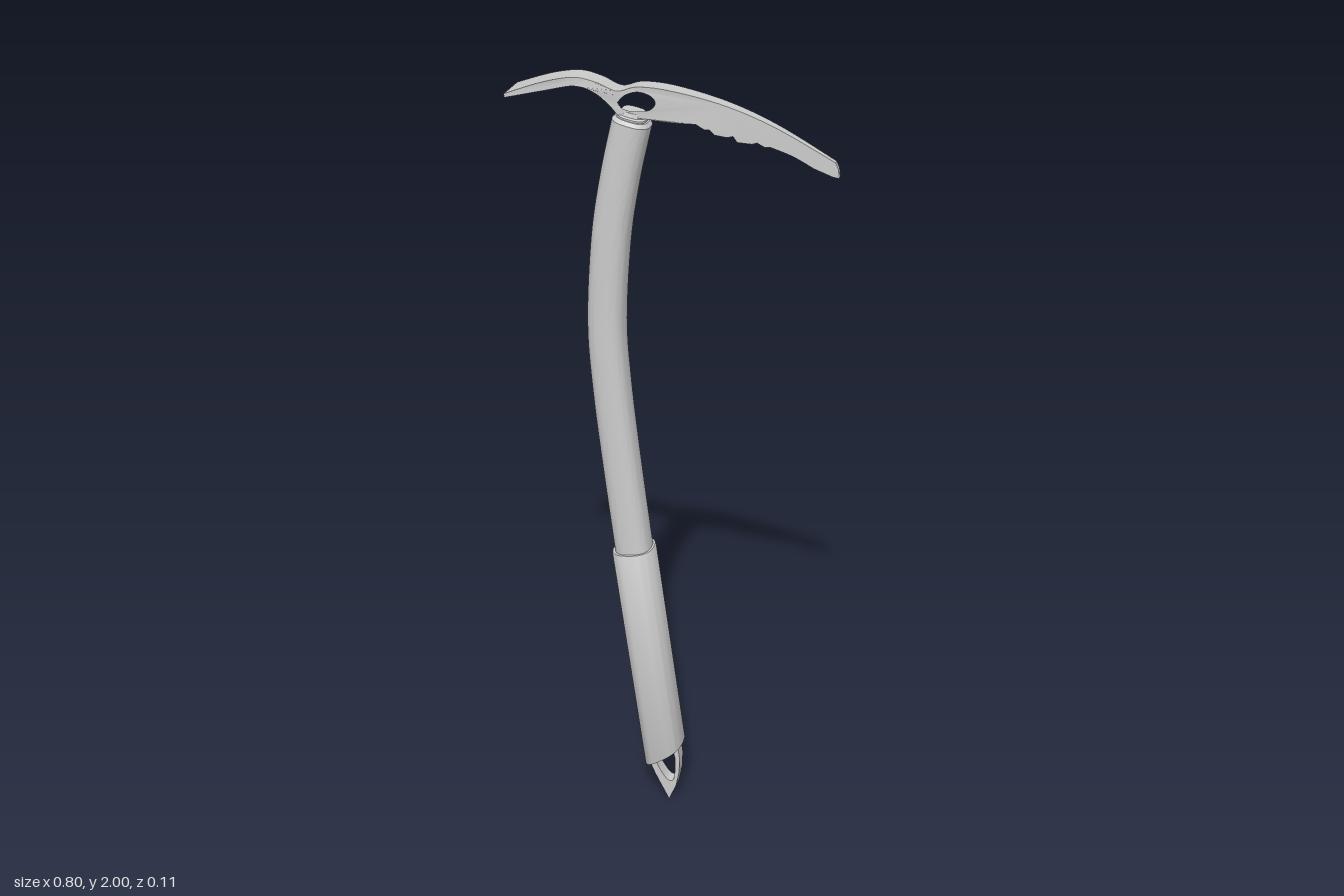
import * as THREE from 'three';
import { toCreasedNormals } from 'three/addons/utils/BufferGeometryUtils.js';

const material = new THREE.MeshStandardMaterial({ color: 0xcccccc });

function part(name, geometry) {
  const mesh = new THREE.Mesh(toCreasedNormals(geometry, 0.6), material);
  mesh.name = name;
  return mesh;
}

// Skins rounded-oval rings, listed bottom to top. Each ring has a centre p,
// direction t, half-sizes a (in the bend plane) and b (along z), and a slant.
function loft(rings, sides = 40) {
  const pos = [], index = [];
  const round = (v) => Math.sign(v) * Math.abs(v) ** (2 / 2.6);
  for (const { p, t, a, b, slant = 0 } of rings) {
    for (let j = 0; j < sides; j++) {
      const angle = (j / sides) * Math.PI * 2;
      const u = a * round(Math.cos(angle)), w = b * round(Math.sin(angle));
      pos.push(p.x + t.y * u + t.x * u * slant, p.y - t.x * u + t.y * u * slant, w);
    }
  }
  for (let i = 0; i < rings.length - 1; i++) {
    for (let j = 0; j < sides; j++) {
      const k = (j + 1) % sides;
      const a = i * sides + j, b = a + sides, c = i * sides + k, d = c + sides;
      index.push(a, b, c, b, d, c);
    }
  }
  const g = new THREE.BufferGeometry();
  g.setAttribute('position', new THREE.Float32BufferAttribute(pos, 3));
  g.setIndex(index);
  return g;
}

const points = (list) => list.map(([x, y]) => new THREE.Vector2(x, y));
const spline = (list, n) => new THREE.SplineCurve(points(list)).getPoints(n);

function createShaft() {
  const path = new THREE.SplineCurve(points([
    [-0.09, 0.65], [-0.105, 0.76], [-0.135, 1.0], [-0.157, 1.2], [-0.168, 1.38],
    [-0.155, 1.6], [-0.13, 1.76], [-0.1, 1.895],
  ]));
  const rings = [];
  for (let i = 0; i <= 40; i++) {
    rings.push({ p: path.getPoint(i / 40), t: path.getTangent(i / 40), a: 0.047, b: 0.049 });
  }
  // bevelled and closed top
  const { p, t } = rings[40];
  rings.push({ p: p.clone().addScaledVector(t, 0.009), t, a: 0.039, b: 0.041 });
  rings.push({ p: p.clone().addScaledVector(t, 0.009), t, a: 0, b: 0 });
  return part('shaft', loft(rings));
}

function createGrip() {
  const low = new THREE.Vector2(-0.022, 0.143), high = new THREE.Vector2(-0.105, 0.757);
  const t = high.clone().sub(low).normalize();
  const ring = (base, along, scale, slant) => ({
    p: base.clone().addScaledVector(t, along), t, a: 0.055 * scale, b: 0.057 * scale, slant,
  });
  return part('grip', loft([
    // hollow slanted end
    ring(low, 0.03, 0, 0.5), ring(low, 0.03, 0.85, 0.5), ring(low, 0, 0.88, 0.5),
    ring(low, 0, 0.97, 0.5), ring(low, 0.005, 1, 0.5),
    // shoulder against the shaft
    ring(high, -0.004, 1, 0), ring(high, 0, 0.97, 0), ring(high, 0, 0.8, 0),
  ]));
}

function createSpike() {
  const shape = new THREE.Shape(points([
    [-0.062, 0.15], [-0.062, 0.115], [-0.045, 0.075], [-0.007, 0.0],
    [0.012, 0.045], [0.021, 0.09], [0.022, 0.135], [0.015, 0.19],
  ]));
  shape.holes.push(new THREE.Path(spline([
    [-0.04, 0.13], [-0.04, 0.108], [-0.015, 0.066], [0.003, 0.062],
    [0.009, 0.09], [0.009, 0.135], [0.0, 0.165],
  ], 24)));
  const g = new THREE.ExtrudeGeometry(shape, { depth: 0.036, bevelEnabled: false });
  return part('spike', g.translate(0, 0, -0.018));
}

// Half thickness of the head along its length: broad adze, slim pick
const widths = [[-0.4, 0.051], [-0.3, 0.042], [-0.21, 0.031], [-0.15, 0.027],
  [0, 0.025], [0.1, 0.02], [0.2, 0.0155], [0.4, 0.007]];
function halfWidth(x) {
  let i = 0;
  while (i < widths.length - 2 && x > widths[i + 1][0]) i++;
  const [x0, w0] = widths[i], [x1, w1] = widths[i + 1];
  return w0 + ((w1 - w0) * (x - x0)) / (x1 - x0);
}

function createHead() {
  const top = spline([
    [-0.4, 1.952], [-0.31, 1.984], [-0.235, 1.999], [-0.18, 1.99], [-0.13, 1.972],
    [-0.08, 1.985], [0, 1.981], [0.127, 1.954], [0.25, 1.908], [0.39, 1.835],
  ], 60);
  const beak = points([[0.397, 1.82], [0.4, 1.798], [0.385, 1.8]]);
  const pickEdge = spline([[0.34, 1.817], [0.29, 1.843], [0.235, 1.862]], 8);
  const teeth = points([
    [0.222, 1.861], [0.205, 1.87], [0.193, 1.866], [0.158, 1.868], [0.148, 1.882],
    [0.135, 1.878], [0.105, 1.882], [0.092, 1.894], [0.08, 1.893], [0.06, 1.905],
  ]);
  const belly = spline([
    [0.01, 1.905], [-0.05, 1.908], [-0.1, 1.91], [-0.128, 1.915], [-0.142, 1.93],
    [-0.18, 1.962], [-0.23, 1.978], [-0.3, 1.965], [-0.398, 1.943],
  ], 40);
  const shape = new THREE.Shape([...top, ...beak, ...pickEdge, ...teeth, ...belly]);
  // carabiner eye
  shape.holes.push(new THREE.Path(spline([
    [-0.128, 1.945], [-0.11, 1.963], [-0.08, 1.973], [-0.05, 1.966], [-0.037, 1.95],
    [-0.05, 1.932], [-0.085, 1.926], [-0.115, 1.93], [-0.128, 1.945],
  ], 32).slice(0, -1)));
  const g = new THREE.ExtrudeGeometry(shape, { depth: 2, bevelEnabled: false });
  g.translate(0, 0, -1);
  const pos = g.attributes.position;
  for (let i = 0; i < pos.count; i++) pos.setZ(i, pos.getZ(i) * halfWidth(pos.getX(i)));
  return part('head', g);
}

// Stepped collar joining the head to the shaft
function createCollar() {
  const t = new THREE.Vector2(0.2, 0.98).normalize();
  const ring = (x, y, a, b) => ({ p: new THREE.Vector2(x, y), t, a, b });
  return part('collar', loft([
    ring(-0.102, 1.885, 0.036, 0.037), ring(-0.099, 1.908, 0.036, 0.037),
    ring(-0.098, 1.911, 0.03, 0.031), ring(-0.096, 1.921, 0.028, 0.028),
    ring(-0.096, 1.921, 0, 0),
  ]));
}

export function createModel() {
  const model = new THREE.Group();
  model.name = 'iceAxe';
  model.add(createShaft(), createGrip(), createSpike(), createCollar(), createHead());
  return model;
}
